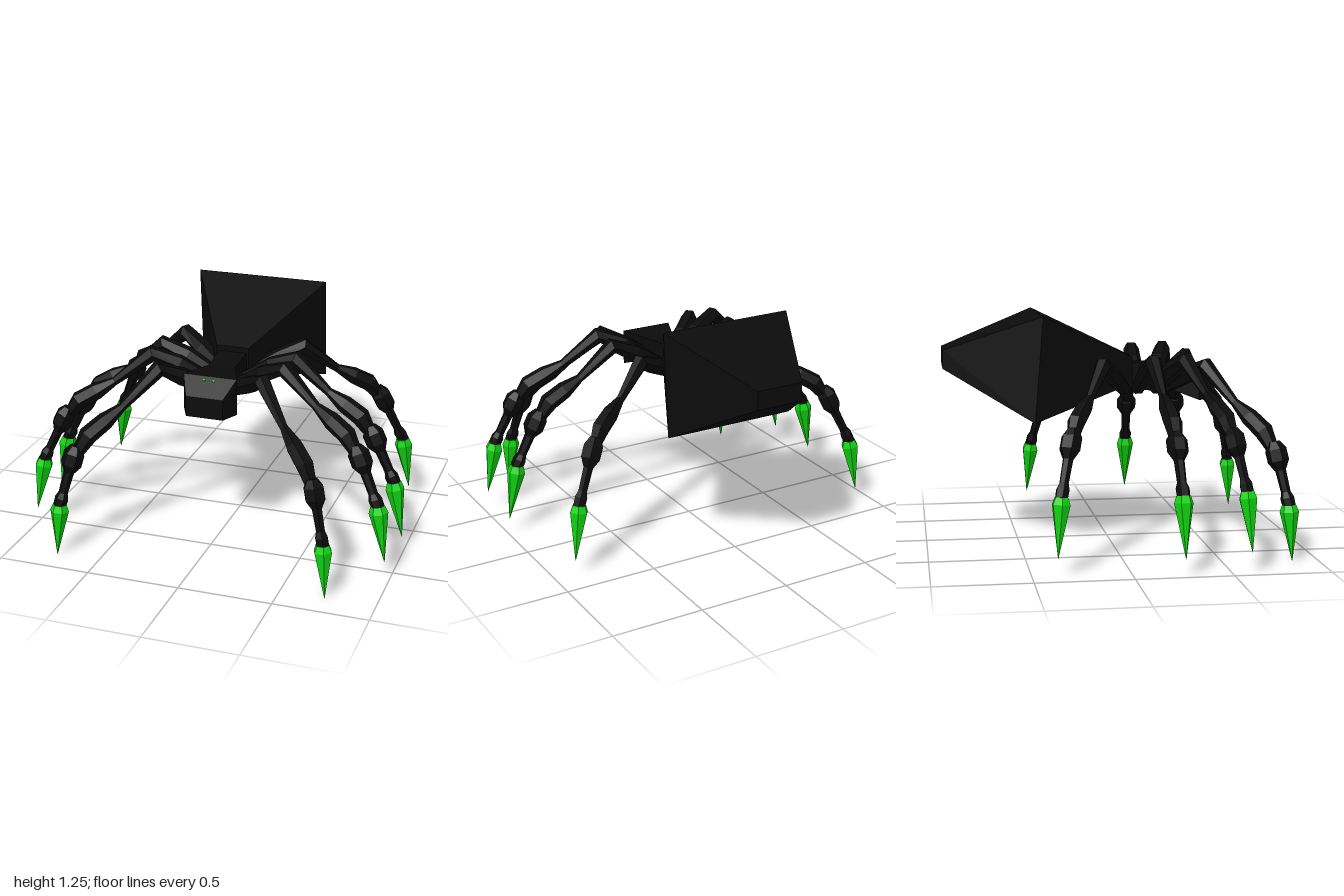
import * as THREE from 'three';

const black = new THREE.MeshStandardMaterial({ color: 0x0b0b0b });
black.name = 'black shell';
const green = new THREE.MeshStandardMaterial({ color: 0x0fd40f });
green.name = 'bright green';

// Faceted skin over rings of corners, with both ends closed
function skin(name, rings, material) {
  const pos = [];
  const tri = (a, b, c) => [a, b, c].forEach(p => pos.push(p.x, p.y, p.z));
  const n = rings[0].length;
  for (let i = 0; i < rings.length - 1; i++) {
    const a = rings[i], b = rings[i + 1];
    for (let k = 0; k < n; k++) {
      const m = (k + 1) % n;
      tri(a[k], a[m], b[m]);
      tri(a[k], b[m], b[k]);
    }
  }
  const first = rings[0], last = rings[rings.length - 1];
  for (let k = 1; k < n - 1; k++) {
    tri(first[0], first[k + 1], first[k]);
    tri(last[0], last[k], last[k + 1]);
  }
  const geo = new THREE.BufferGeometry();
  geo.setAttribute('position', new THREE.Float32BufferAttribute(pos, 3));
  geo.computeVertexNormals();
  const mesh = new THREE.Mesh(geo, material);
  mesh.name = name;
  return mesh;
}

// Four-cornered section: half width, bottom y and z, top y and z
function slab(w, y0, z0, y1, z1 = z0) {
  return [[-w, y0, z0], [w, y0, z0], [w, y1, z1], [-w, y1, z1]]
    .map(p => new THREE.Vector3(...p));
}

// Six-sided limb along points [distance, height, radius] in a vertical plane
function limb(name, rows, place, side, material) {
  const pts = rows.map(([t, y]) => place(t, y));
  const rings = pts.map((p, i) => {
    const tangent = pts[Math.min(i + 1, pts.length - 1)].clone()
      .sub(pts[Math.max(i - 1, 0)]).normalize();
    const normal = tangent.cross(side);
    return Array.from({ length: 6 }, (_, k) => {
      const a = k * Math.PI / 3;
      return p.clone().addScaledVector(side, rows[i][2] * Math.cos(a))
        .addScaledVector(normal, rows[i][2] * Math.sin(a));
    });
  });
  return skin(name, rings, material);
}

function makeLeg(spec, sx) {
  const { hip, tip, peak, joint, claw, tipY } = spec;
  const place = (t, y) => new THREE.Vector3(
    sx * (hip[0] + (tip[0] - hip[0]) * t), y, hip[1] + (tip[1] - hip[1]) * t);
  const dir = place(1, 0).sub(place(0, 0)).normalize();
  const side = new THREE.Vector3(0, 1, 0).cross(dir);
  const mix = (a, b, f, r, lift = 0) =>
    [a[0] + (b[0] - a[0]) * f, a[1] + (b[1] - a[1]) * f + lift, r];
  const knee = [0.34, peak];
  const leg = new THREE.Group();
  leg.name = spec.name + (sx > 0 ? 'Left' : 'Right');
  // Hip arch, slim thigh and swollen lower thigh
  leg.add(limb('thigh', [
    [0, 0.83, 0.04], [0.2, peak - 0.06, 0.05], [0.34, peak, 0.045],
    mix(knee, joint, 0.42, 0.023), mix(knee, joint, 0.62, 0.047, 0.02),
    mix(knee, joint, 0.82, 0.05, 0.04), mix(knee, joint, 0.96, 0.03),
  ], place, side, black));
  // Knee knob, thin shin and ankle
  leg.add(limb('shin', [
    mix(joint, claw, -0.28, 0.03), mix(joint, claw, -0.12, 0.056),
    mix(joint, claw, 0.12, 0.056), mix(joint, claw, 0.3, 0.028),
    mix(joint, claw, 0.74, 0.025), mix(joint, claw, 0.86, 0.036),
    mix(joint, claw, 1.03, 0.034),
  ], place, side, black));
  // Pointed claw
  const end = [1, tipY];
  leg.add(limb('claw', [
    mix(claw, end, 0, 0.037), mix(claw, end, 0.12, 0.05), mix(claw, end, 1, 0.001),
  ], place, side, green));
  return leg;
}

export function createModel() {
  const model = new THREE.Group();
  model.name = 'spider';

  // Body, from back to front
  model.add(skin('abdomen', [
    slab(0.13, 0.96, -0.9, 1.06), slab(0.37, 0.69, -0.43, 1.25, -0.385),
    slab(0.09, 0.86, 0.13, 1.005),
  ], black));
  model.add(skin('thorax', [
    slab(0.08, 0.84, 0.05, 0.98), slab(0.075, 0.82, 0.2, 0.97), slab(0.07, 0.83, 0.34, 0.95),
  ], black));
  model.add(skin('head', [
    slab(0.07, 0.84, 0.3, 0.955), slab(0.145, 0.77, 0.49, 0.965), slab(0.1, 0.77, 0.585, 0.88),
  ], black));

  // Tiny eyes on the sloping brow
  for (const x of [-0.025, 0.025]) {
    const eye = new THREE.Mesh(new THREE.BoxGeometry(0.012, 0.006, 0.008), green);
    eye.name = 'eye';
    eye.position.set(x, 0.949, 0.51);
    eye.rotation.x = 0.73;
    model.add(eye);
  }

  // Four pairs of legs
  const legs = [
    { name: 'frontLeg', hip: [0.05, 0.3], tip: [0.735, 0.865], peak: 0.975, joint: [0.88, 0.54], claw: [0.97, 0.29], tipY: 0 },
    { name: 'secondLeg', hip: [0.05, 0.26], tip: [0.975, 0.595], peak: 1.01, joint: [0.83, 0.64], claw: [0.945, 0.41], tipY: 0.11 },
    { name: 'thirdLeg', hip: [0.05, 0.165], tip: [0.99, 0.255], peak: 1.005, joint: [0.82, 0.63], claw: [0.94, 0.4], tipY: 0.09 },
    { name: 'backLeg', hip: [0.05, 0.09], tip: [0.89, -0.37], peak: 0.985, joint: [0.82, 0.64], claw: [0.95, 0.39], tipY: 0.09 },
  ];
  for (const spec of legs) for (const sx of [1, -1]) model.add(makeLeg(spec, sx));
  return model;
}
